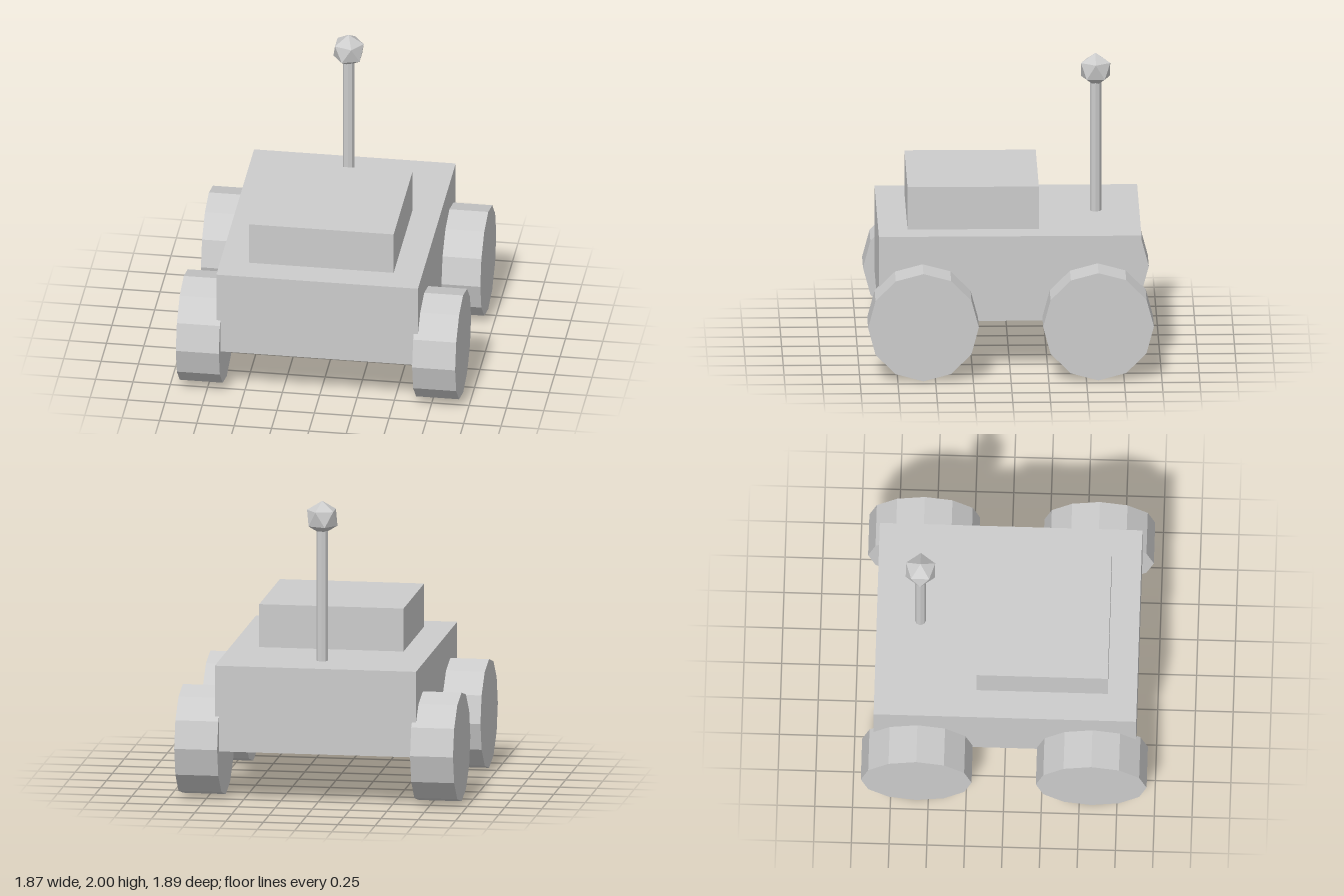
import * as THREE from 'three';

export function createModel() {
  const model = new THREE.Group();
  model.name = 'rover';
  const grey = new THREE.MeshStandardMaterial({ color: 0xcccccc });
  grey.name = 'light grey';

  const add = (name, geometry, x, y, z) => {
    // unshared corners with face normals give crisp low-poly facets
    const flat = geometry.index ? geometry.toNonIndexed() : geometry;
    flat.computeVertexNormals();
    const mesh = new THREE.Mesh(flat, grey);
    mesh.name = name;
    mesh.position.set(x, y, z);
    model.add(mesh);
  };

  // Hull and raised deck
  add('body', new THREE.BoxGeometry(1.35, 0.578, 1.74), 0, 0.633, 0);
  add('cabin', new THREE.BoxGeometry(0.968, 0.29, 0.87), 0, 1.067, 0.241);

  // Four twelve-sided wheels
  for (const [side, sx] of [['left', 1], ['right', -1]]) {
    for (const [end, sz] of [['front', 1], ['rear', -1]]) {
      const wheel = new THREE.CylinderGeometry(0.367, 0.367, 0.288, 12).rotateZ(Math.PI / 2);
      add(`${end} ${side} wheel`, wheel, sx * 0.791, 0.367, sz * 0.58);
    }
  }

  // Antenna mast with a faceted ball standing on one corner
  add('antennaMast', new THREE.CylinderGeometry(0.038, 0.038, 0.92, 8), 0, 1.37, -0.58);
  const tilt = Math.atan(2 / (1 + Math.sqrt(5)));
  add('antennaBall', new THREE.IcosahedronGeometry(0.114, 0).rotateZ(-tilt), 0, 1.886, -0.58);

  return model;
}
